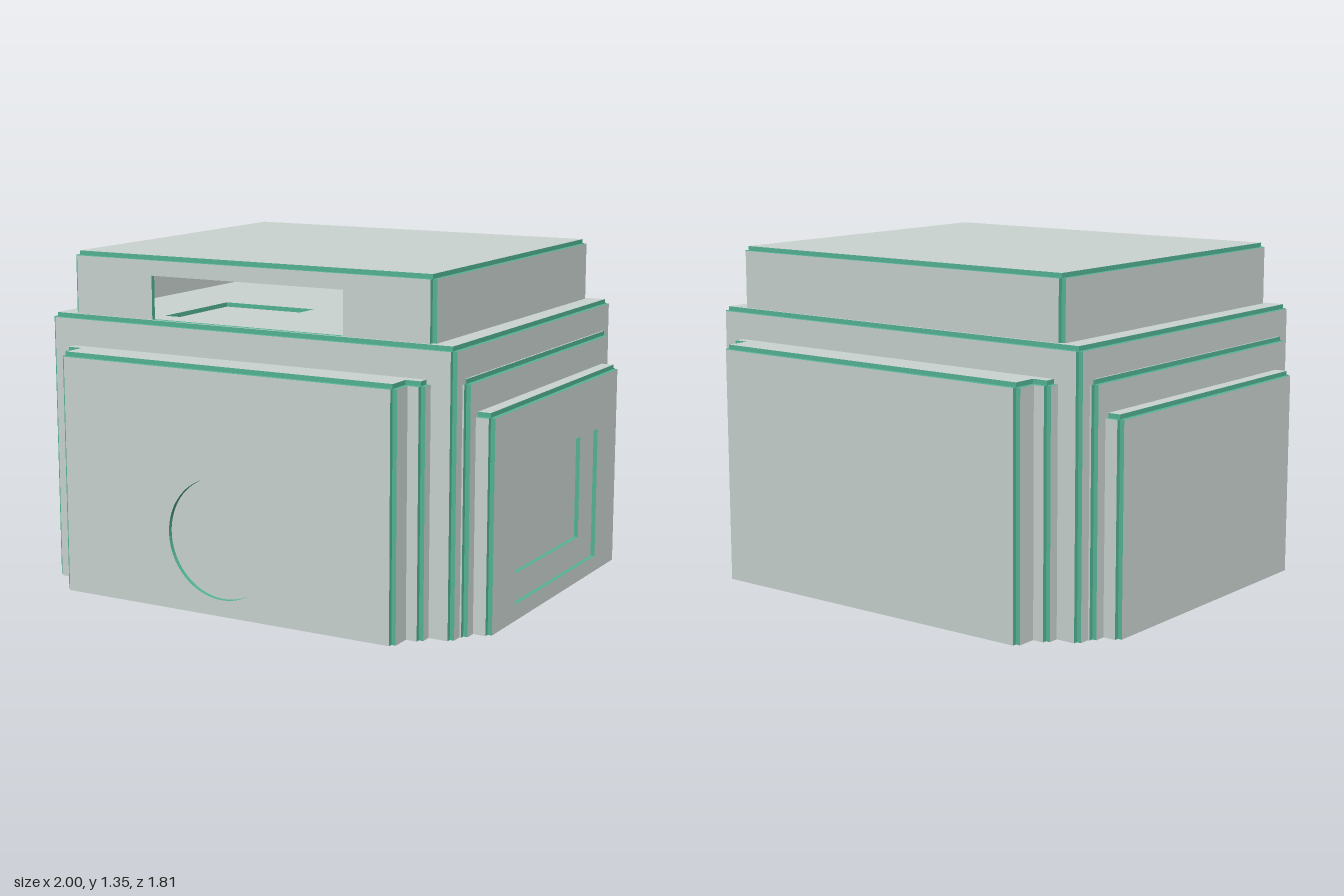
import * as THREE from 'three';

const T = 0.018; // sheet thickness
const grey = new THREE.MeshStandardMaterial({ color: 0xcad4d0 });
grey.name = 'sheet grey';
const green = new THREE.MeshStandardMaterial({ color: 0x55b596 });
green.name = 'edge green';

const rect = (C, u0, v0, u1, v1) => {
  const s = new C();
  s.moveTo(u0, v0);
  s.lineTo(u1, v0);
  s.lineTo(u1, v1);
  s.lineTo(u0, v1);
  s.closePath();
  return s;
};
const rectHole = (u0, v0, u1, v1) => rect(THREE.Path, u0, v0, u1, v1);

function roundHole(y, r) {
  const p = new THREE.Path();
  p.absarc(0, y, r, 0, Math.PI * 2, true);
  return p;
}

// One sheet: grey faces, green cut edges, lying in its own XY plane
function sheet(name, u0, v0, u1, v1, hole) {
  const shape = rect(THREE.Shape, u0, v0, u1, v1);
  if (hole) shape.holes.push(hole);
  const geo = new THREE.ExtrudeGeometry(shape, { depth: T, bevelEnabled: false, curveSegments: 40 });
  const mesh = new THREE.Mesh(geo, [grey, green]);
  mesh.name = name;
  return mesh;
}

// Box of four walls and a lid; the corners stay notched.
// holes may give an opening for the front, left or lid sheet.
function shell(name, hx, hz, y0, y1, holes = {}) {
  const g = new THREE.Group();
  g.name = name;
  ['front', 'left', 'back', 'right'].forEach((side, i) => {
    const half = i % 2 ? hz : hx;
    const wall = sheet(side + 'Wall', -half, y0, half, y1, holes[side]);
    wall.rotation.y = i * Math.PI / 2;
    wall.position.set([0, hx, 0, -hx][i], 0, [hz, 0, -hz, 0][i]);
    g.add(wall);
  });
  const lid = sheet('lid', -hx, -hz, hx, hz, holes.lid);
  lid.rotation.x = -Math.PI / 2;
  lid.position.y = y1;
  g.add(lid);
  return g;
}

export function createModel() {
  const model = new THREE.Group();
  model.name = 'layeredHouse';

  model.add(
    // Main body, with a hatch in its lid, and the slotted upper box
    shell('body', 0.887, 0.727, 0, 1.078, { lid: rectHole(-0.45, -0.6, -0.03, -0.15) }),
    shell('upperBox', 0.79, 0.70, 1.096, 1.33, { front: rectHole(-0.43, 1.0965, 0.43, 1.27) }),
    // Boxes running front to back through the body, with the round opening
    shell('frontBackInnerBox', 0.79, 0.787, 0, 0.952),
    shell('frontBackOuterBox', 0.727, 0.885, 0, 0.952, { front: roundHole(0.305, 0.239) }),
    // Boxes running side to side through the body, with the window
    shell('sideInnerBox', 0.912, 0.665, 0, 0.952, { left: rectHole(-0.385, 0.14, 0.385, 0.7) }),
    shell('sideOuterBox', 0.982, 0.602, 0, 0.823, { left: rectHole(-0.4, 0.065, 0.4, 0.605) })
  );

  // Cross wall with a doorway inside the room
  const cross = sheet('crossWall', -0.727, 0, 0.727, 0.823, rectHole(-0.13, 0.11, 0.42, 0.5));
  cross.position.z = 0.25;
  model.add(cross);

  // Bottom rails along front and back
  for (const s of [-1, 1]) {
    const rail = new THREE.Mesh(new THREE.BoxGeometry(1.774, T, 0.107), green);
    rail.name = 'bottomRail';
    rail.position.set(0, T / 2, s * 0.6735);
    model.add(rail);
  }
  return model;
}
